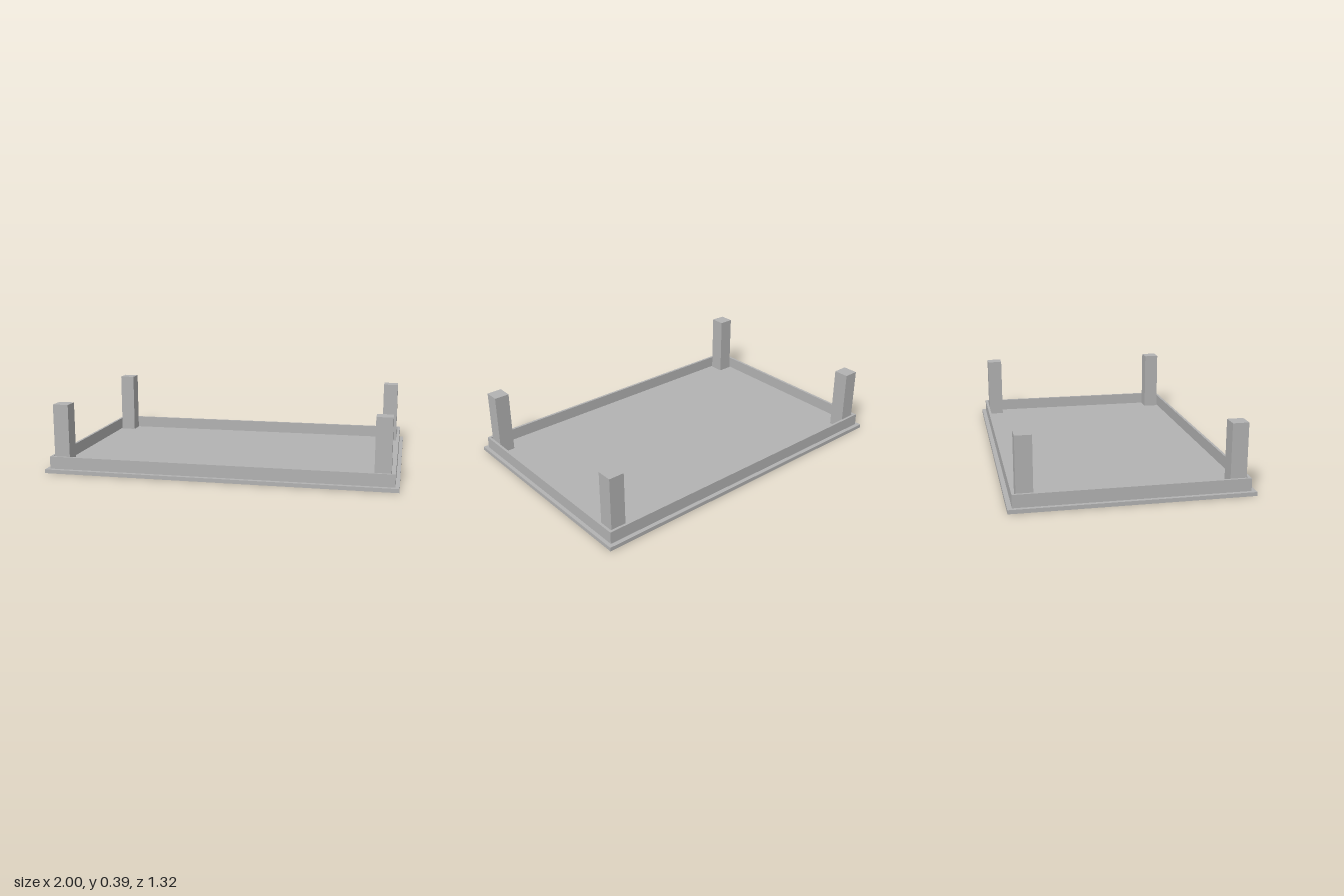
import * as THREE from 'three';

// Low table resting upside down: slab on the ground, apron frame and legs pointing up.
export function createModel() {
  const table = new THREE.Group();
  table.name = 'upturnedTable';
  const grey = new THREE.MeshStandardMaterial({ color: 0xb2b2b2 });
  grey.name = 'grey';

  const slabTop = 0.022, apronTop = 0.093, legTop = 0.394;

  function addBox(name, w, h, d, x, y, z) {
    const mesh = new THREE.Mesh(new THREE.BoxGeometry(w, h, d), grey);
    mesh.name = name;
    mesh.position.set(x, y + h / 2, z);
    table.add(mesh);
  }

  // Table top
  addBox('tableTop', 2, slabTop, 1.32, 0, 0, 0);

  // Thin apron: a rectangular frame with an open middle
  const rect = (Path, hx, hz) => new Path([
    new THREE.Vector2(-hx, -hz), new THREE.Vector2(hx, -hz),
    new THREE.Vector2(hx, hz), new THREE.Vector2(-hx, hz),
  ]);
  const frame = rect(THREE.Shape, 0.978, 0.635);
  frame.holes.push(rect(THREE.Path, 0.963, 0.62));
  const apron = new THREE.Mesh(
    new THREE.ExtrudeGeometry(frame, { depth: apronTop - slabTop, bevelEnabled: false }), grey);
  apron.name = 'apron';
  apron.rotation.x = -Math.PI / 2;
  apron.position.y = slabTop;
  table.add(apron);

  // Square legs just inside the apron corners
  for (const [sx, side] of [[1, 'left'], [-1, 'right']]) {
    for (const [sz, end] of [[1, 'Front'], [-1, 'Back']]) {
      addBox(`${side}${end}Leg`, 0.09, legTop - slabTop, 0.09, sx * 0.91, slabTop, sz * 0.568);
    }
  }
  return table;
}
